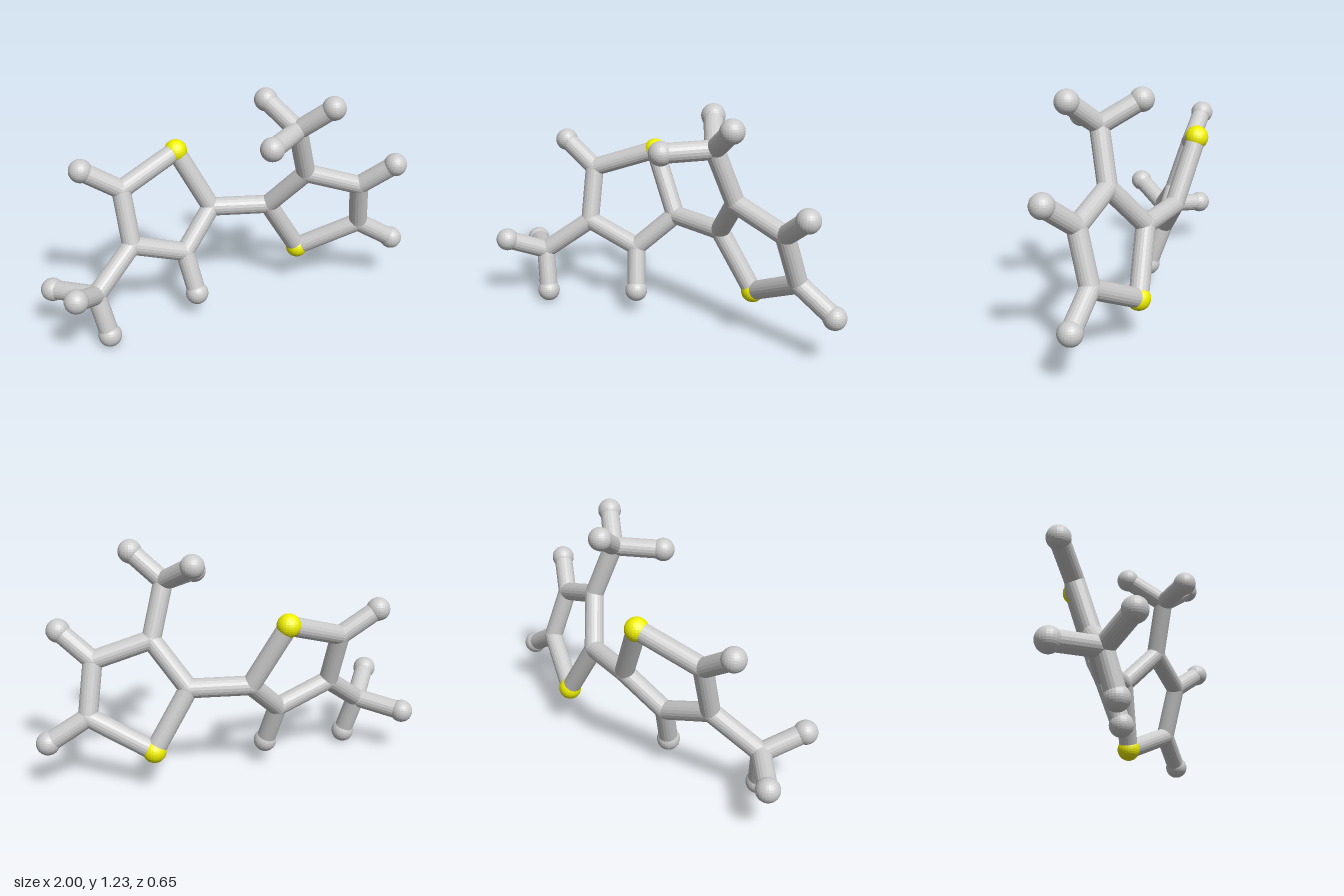
import * as THREE from 'three';

const BOND_RADIUS = 0.049;
const CARBON_RADIUS = 0.05;
const END_RADIUS = 0.06;

// Atom centres: two five-sided rings, each with a methyl branch
const atoms = {
  // left-hand ring (-x)
  sulfurA: [-0.235, 0.86, -0.265],
  carbonA1: [-0.065, 0.54, -0.205],
  carbonA2: [-0.24, 0.355, -0.09],
  carbonA3: [-0.525, 0.46, -0.05],
  carbonA4: [-0.55, 0.74, -0.135],
  hydrogenA2: [-0.195, 0.133, -0.02],
  hydrogenA4: [-0.745, 0.865, -0.14],
  carbonMethylA: [-0.74, 0.28, 0.085],
  hydrogenMethylA1: [-0.94, 0.25, -0.08],
  hydrogenMethylA2: [-0.855, 0.375, 0.265],
  hydrogenMethylA3: [-0.69, 0.062, 0.132],
  // right-hand ring (+x)
  sulfurB: [0.425, 0.228, -0.193],
  carbonB1: [0.24, 0.535, -0.16],
  carbonB2: [0.4, 0.757, -0.028],
  carbonB3: [0.69, 0.663, 0.003],
  carbonB4: [0.735, 0.395, -0.077],
  hydrogenB3: [0.845, 0.8, 0.092],
  hydrogenB4: [0.938, 0.27, -0.07],
  carbonMethylB: [0.32, 1.033, 0.045],
  hydrogenMethylB1: [0.207, 1.145, -0.127],
  hydrogenMethylB2: [0.13, 1.025, 0.22],
  hydrogenMethylB3: [0.468, 1.167, 0.14],
};

// Chains of bonded atoms
const chains = [
  ['carbonA1', 'carbonA2', 'carbonA3', 'carbonA4', 'sulfurA', 'carbonA1'],
  ['carbonB1', 'carbonB2', 'carbonB3', 'carbonB4', 'sulfurB', 'carbonB1'],
  ['carbonA1', 'carbonB1'],
  ['carbonA2', 'hydrogenA2'],
  ['carbonA4', 'hydrogenA4'],
  ['carbonB3', 'hydrogenB3'],
  ['carbonB4', 'hydrogenB4'],
  ['carbonA3', 'carbonMethylA', 'hydrogenMethylA1'],
  ['carbonB2', 'carbonMethylB', 'hydrogenMethylB1'],
  ['hydrogenMethylA2', 'carbonMethylA', 'hydrogenMethylA3'],
  ['hydrogenMethylB2', 'carbonMethylB', 'hydrogenMethylB3'],
];

export function createModel() {
  const model = new THREE.Group();
  model.name = 'molecule';
  const grey = new THREE.MeshStandardMaterial({ color: 0xcccccc, flatShading: true });
  const yellow = new THREE.MeshStandardMaterial({ color: 0xf0f000, flatShading: true });
  const up = new THREE.Vector3(0, 1, 0);

  // Atoms
  const carbonBall = new THREE.SphereGeometry(CARBON_RADIUS, 24, 16);
  const endBall = new THREE.SphereGeometry(END_RADIUS, 24, 16);
  for (const [name, position] of Object.entries(atoms)) {
    const ball = new THREE.Mesh(
      name.startsWith('carbon') ? carbonBall : endBall,
      name.startsWith('sulfur') ? yellow : grey
    );
    ball.name = name;
    ball.position.set(...position);
    model.add(ball);
  }

  // Bonds: rods running from centre to centre
  const rod = new THREE.CylinderGeometry(BOND_RADIUS, BOND_RADIUS, 1, 20);
  for (const chain of chains) {
    for (let i = 0; i < chain.length - 1; i++) {
      const a = new THREE.Vector3(...atoms[chain[i]]);
      const b = new THREE.Vector3(...atoms[chain[i + 1]]);
      const along = b.clone().sub(a);
      const bond = new THREE.Mesh(rod, grey);
      bond.name = 'bond';
      bond.position.copy(a).add(b).multiplyScalar(0.5);
      bond.scale.y = along.length();
      bond.quaternion.setFromUnitVectors(up, along.normalize());
      model.add(bond);
    }
  }
  return model;
}
